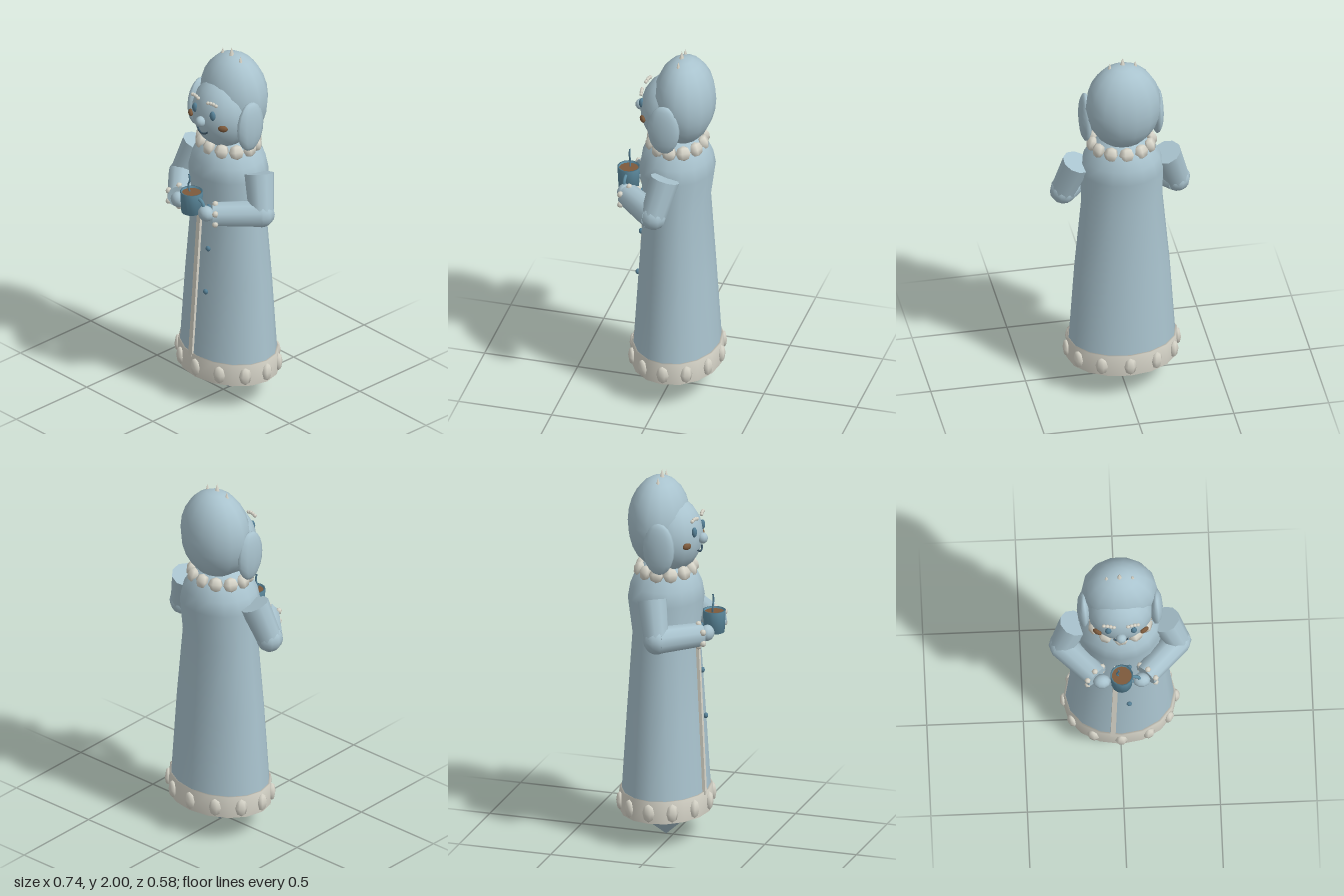
import * as THREE from 'three';
import { mergeVertices } from 'three/addons/utils/BufferGeometryUtils.js';

const mat = (name, color, side = THREE.FrontSide) => {
  const m = new THREE.MeshStandardMaterial({ color, side });
  m.name = name;
  return m;
};

export function createModel() {
  const root = new THREE.Group();
  root.name = 'robedFigure';
  const frost = mat('frost blue', 0xa9c3ce);
  const cream = mat('cream trim', 0xd8d6ca, THREE.DoubleSide);
  const mugBlue = mat('mug blue', 0x5f8ea3, THREE.DoubleSide);
  const eyeBlue = mat('eye blue', 0x557f95);
  const brown = mat('warm brown', 0x7d5a3c);
  const dark = mat('dark slate', 0x3d5666);
  const V = (x, y, z) => new THREE.Vector3(x, y, z);
  const ZC = -0.037; // depth centre of the robe

  const add = (name, geo, material, pos = [0, 0, 0], parent = root) => {
    const m = new THREE.Mesh(geo, material);
    m.name = name;
    m.position.set(...pos);
    parent.add(m);
    return m;
  };
  const ball = (name, material, pos, r, w = 12, h = 8, parent = root) => {
    const m = add(name, new THREE.SphereGeometry(1, w, h), material, pos, parent);
    m.scale.set(...r);
    return m;
  };
  const limb = (name, a, b, ra, rb, material, sides = 10) => {
    const d = b.clone().sub(a);
    const m = add(name, new THREE.CylinderGeometry(rb, ra, d.length(), sides), material);
    m.position.copy(a).add(b).multiplyScalar(0.5);
    m.quaternion.setFromUnitVectors(V(0, 1, 0), d.normalize());
    return m;
  };
  // Elliptical rings listed from top to bottom as [y, half width, half depth]
  const rings = (list, sides = 16) => {
    const g = new THREE.CylinderGeometry(1, 1, 1, sides, list.length - 1, true);
    const p = g.attributes.position;
    for (let i = 0; i < p.count; i++) {
      const [y, rx, rz] = list[Math.floor(i / (sides + 1))];
      p.setXYZ(i, p.getX(i) * rx, y, p.getZ(i) * rz + ZC);
    }
    g.deleteAttribute('uv');
    g.deleteAttribute('normal');
    const out = mergeVertices(g, 1e-5);
    out.computeVertexNormals();
    return out;
  };

  // Robe, pointed underside and fur hem
  add('robe', rings([
    [1.5, 0.1, 0.1], [1.46, 0.15, 0.155], [1.385, 0.2, 0.185], [1.31, 0.22, 0.197],
    [1.12, 0.214, 0.17], [0.7, 0.252, 0.197], [0.2, 0.285, 0.228],
  ]), frost);
  add('underside', rings([[0.2, 0.28, 0.222], [0, 0.0005, 0.0005]]), frost);
  add('hem', rings([
    [0.27, 0.27, 0.215], [0.27, 0.29, 0.234], [0.15, 0.292, 0.236], [0.15, 0.275, 0.22], [0.27, 0.27, 0.215],
  ]), cream);
  for (let i = 0; i < 12; i++) {
    const a = (i * Math.PI) / 6;
    const s = Math.sin(a), c = Math.cos(a);
    const turn = Math.atan2(s / 0.29, c / 0.236);
    ball('hemTuft', cream, [s * 0.292, 0.207, ZC + c * 0.236], [0.033, 0.05, 0.02], 6, 4).rotation.y = turn;
    const petal = ball('collarPetal', cream, [s * 0.158, 1.469, ZC + c * 0.14], [0.042, 0.04, 0.028], 5, 4);
    petal.rotation.set(-0.35, a, 0, 'YXZ');
  }

  // Front strip and buttons
  const strip = add('frontStrip', new THREE.BoxGeometry(0.026, 0.89, 0.016), cream, [-0.034, 0.7, 0.164]);
  strip.rotation.set(-0.053, 0, -0.022);
  for (const [y, z] of [[1.15, 0.142], [0.905, 0.147], [0.657, 0.165]])
    ball('button', eyeBlue, [0.042, y, z], [0.015, 0.015, 0.012], 8, 6);

  // Hooded head
  ball('hood', frost, [0, 1.716, -0.075], [0.198, 0.245, 0.162], 14, 12);
  ball('face', frost, [0, 1.65, 0], [0.172, 0.195, 0.155], 16, 12);
  for (const x of [-0.067, 0, 0.067]) {
    const h = x ? 0.045 : 0.055;
    add('crownSpike', new THREE.ConeGeometry(x ? 0.013 : 0.017, h, 5), cream, [x, (x ? 1.974 : 2) - h / 2, -0.06]);
  }
  ball('nose', frost, [0, 1.645, 0.162], [0.028, 0.029, 0.027], 10, 8);
  const smile = new THREE.QuadraticBezierCurve3(V(-0.04, 1.592, 0.145), V(0, 1.555, 0.158), V(0.04, 1.592, 0.145));
  add('mouth', new THREE.TubeGeometry(smile, 10, 0.005, 5), dark);

  for (const s of [-1, 1]) {
    // Side of the head and face features
    ball('earFlap', frost, [s * 0.188, 1.625, -0.015], [0.035, 0.14, 0.087], 10, 10);
    ball('eye', eyeBlue, [s * 0.066, 1.695, 0.138], [0.017, 0.027, 0.014], 10, 8);
    ball('cheek', brown, [s * 0.122, 1.633, 0.117], [0.027, 0.018, 0.013], 8, 6).rotation.y = s * 0.6;
    for (let i = 0; i < 4; i++)
      ball('browTuft', cream, [s * (0.037 + i * 0.017), 1.757 + (i === 1 || i === 2 ? 0.008 : 0.004), 0.143 - i * 0.003],
        [0.012, 0.01, 0.01], 6, 4);

    // Arm, cuff and hand
    const elbow = V(s * 0.3, 1.165, 0.01), wrist = V(s * 0.125, 1.16, 0.192);
    limb('upperArm', V(s * 0.235, 1.36, -0.035), elbow, 0.078, 0.066, frost);
    ball('elbow', frost, elbow.toArray(), [0.07, 0.073, 0.07], 10, 8);
    limb('forearm', elbow, wrist, 0.072, 0.064, frost);
    for (let i = 0; i < 6; i++) {
      const a = Math.PI / 6 + (i * Math.PI) / 3;
      const u = Math.cos(a) * 0.062;
      ball('cuffTuft', cream, [s * (0.137 + u * 0.72), 1.16 + Math.sin(a) * 0.06, 0.185 + u * 0.69],
        [0.017, 0.018, 0.017], 6, 4);
    }
    ball('hand', frost, [s * 0.103, 1.165, 0.22], [0.046, 0.042, 0.038], 10, 8);
  }

  // Mug with drink and steam
  const profile = [[0, 1.14], [0.054, 1.14], [0.06, 1.258], [0.052, 1.258], [0.05, 1.235]];
  add('mug', new THREE.LatheGeometry(profile.map(([x, y]) => new THREE.Vector2(x, y)), 14), mugBlue, [0, 0, 0.225]);
  add('drink', new THREE.CylinderGeometry(0.052, 0.051, 0.008, 14), brown, [0, 1.245, 0.225]);
  add('mugHandle', new THREE.TorusGeometry(0.033, 0.009, 6, 12, Math.PI), mugBlue, [0.058, 1.2, 0.225]).rotation.z = -Math.PI / 2;
  const steam = new THREE.CatmullRomCurve3([
    V(-0.018, 1.248, 0.222), V(-0.026, 1.28, 0.225), V(-0.014, 1.315, 0.225), V(-0.02, 1.352, 0.225)]);
  add('steam', new THREE.TubeGeometry(steam, 12, 0.005, 5), eyeBlue);
  return root;
}
